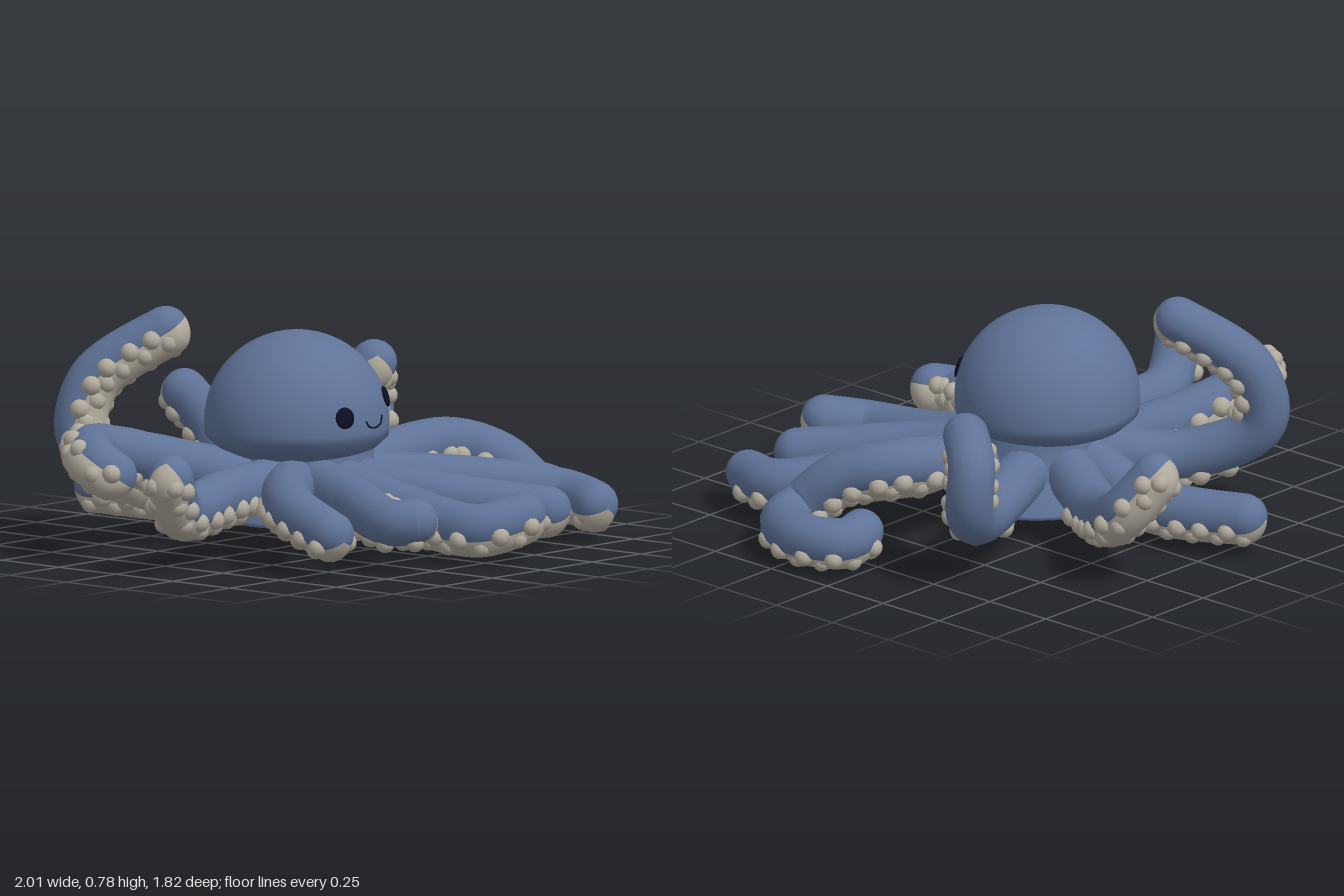
import * as THREE from 'three';
import { mergeGeometries } from 'three/addons/utils/BufferGeometryUtils.js';

const mat = (name, color) => Object.assign(new THREE.MeshStandardMaterial({ color }), { name });
const V = (x, y, z) => new THREE.Vector3(x, y, z);
const HEAD = V(-0.03, 0.41, -0.05), R = 0.308;
const { smoothstep } = THREE.MathUtils;

// Few guide points per arm, from the skirt to the tip; twist turns the sucker side
const ARMS = [
  { name: 'backArm', path: [[-.05, .14, -.5], [-.16, .14, -.84]] },
  { name: 'backLeftArm', path: [[.19, .17, -.48], [.34, .27, -.72], [.28, .42, -.83]] },
  { name: 'leftRaisedArm', twist: -3, path: [[.58, .2, -.3], [.73, .3, -.39], [.73, .45, -.4], [.63, .52, -.28]] },
  { name: 'leftCurledArm', twist: -.4, path: [[.55, .29, .1], [.66, .24, .25], [.73, .13, .36], [.84, .11, .34], [.92, .115, .18], [.87, .12, .04], [.76, .13, .05]] },
  { name: 'frontLeftOuterArm', path: [[.45, .19, .3], [.66, .15, .53], [.61, .13, .72]] },
  { name: 'frontLeftArm', path: [[.16, .18, .38], [.385, .14, .72]] },
  { name: 'frontArm', path: [[-.02, .15, .45], [-.01, .125, .74], [.13, .165, .83]] },
  { name: 'frontRightArm', twist: .9, path: [[-.22, .2, .36], [-.36, .17, .66], [-.31, .18, .74]] },
  { name: 'frontRightOuterArm', path: [[-.38, .22, .21], [-.56, .21, .4], [-.62, .15, .63]] },
  { name: 'rightArm', path: [[-.5, .22, .04], [-.8, .21, .11], [-.925, .35, .17]] },
  { name: 'backRightOuterArm', twist: -1, path: [[-.4, .29, -.29], [-.68, .36, -.37], [-.82, .34, -.24], [-.8, .29, -.16]] },
  { name: 'backRightRaisedArm', twist: 3, path: [[-.33, .21, -.4], [-.46, .34, -.62], [-.42, .54, -.61], [-.25, .72, -.41]] },
];

// Sample the centre line with a frame whose n axis points at the sucker side
function makeFrames(path, twist) {
  const pts = path.map(p => V(...p));
  // Every arm is rooted inside the body, facing its first guide point
  const heading = V(pts[0].x - HEAD.x, 0, pts[0].z - HEAD.z).setLength(0.17);
  pts.unshift(V(HEAD.x, 0.22, HEAD.z).add(heading));
  const [before, end] = pts.slice(-2);
  pts.push(end.clone().add(end.clone().sub(before).setLength(0.055)));
  const curve = new THREE.CatmullRomCurve3(pts, false, 'centripetal');
  const length = curve.getLength(), count = 56, normal = V(0, -1, 0);
  const frames = [];
  for (let i = 0; i <= count; i++) {
    const u = 1 - Math.pow(1 - i / count, 1.5);
    const t = curve.getTangentAt(u);
    normal.addScaledVector(t, -normal.dot(t)).normalize();
    const n = normal.clone().applyAxisAngle(t, twist * smoothstep(u, 0.15, 0.65));
    frames.push({ p: curve.getPointAt(u), n, b: t.clone().cross(n), r: 0.089 - 0.014 * u, left: length * (1 - u), u });
  }
  return { frames, length };
}

// Sweep a round section along the frames, closing in a rounded tip;
// shift moves the section towards the sucker side once clear of the body
function sweep(frames, scale, shift, sides = 16) {
  const pos = [], idx = [];
  frames.forEach(({ p, n, b, r, left, u }, i) => {
    const cap = Math.sqrt(1 - Math.max(0, 1 - left / r) ** 2);
    const offset = shift * r * cap * smoothstep(u, 0.1, 0.28);
    for (let j = 0; j < sides; j++) {
      const a = j / sides * Math.PI * 2;
      const v = p.clone().addScaledVector(n, Math.cos(a) * r * scale * cap + offset)
        .addScaledVector(b, Math.sin(a) * r * scale * cap);
      pos.push(v.x, v.y, v.z);
      if (i === frames.length - 1) continue;
      const k = i * sides + j, l = i * sides + (j + 1) % sides;
      idx.push(k, l, k + sides, l, l + sides, k + sides);
    }
  });
  const g = new THREE.BufferGeometry();
  g.setAttribute('position', new THREE.Float32BufferAttribute(pos, 3));
  g.setIndex(idx);
  g.computeVertexNormals();
  return g;
}

// Two rows of plump suckers, alternately near and far from the middle
function suckers({ frames, length }) {
  const parts = [], count = Math.round((length - 0.04) / 0.045);
  for (let k = Math.ceil(count * 0.22); k < count; k++) {
    const f = frames.find(c => c.u >= k * 0.045 / length);
    for (const side of [-1, 1]) {
      const angle = side * (k % 2 ? 1.05 : 0.5);
      const c = f.p.clone().addScaledVector(f.n, Math.cos(angle) * f.r * 0.92)
        .addScaledVector(f.b, Math.sin(angle) * f.r * 0.92);
      parts.push(new THREE.SphereGeometry(f.r * 0.42, 9, 7).translate(c.x, c.y, c.z));
    }
  }
  return mergeGeometries(parts);
}

// Point on the front of the head
function onHead(x, y) {
  const dx = x - HEAD.x, dy = y - HEAD.y;
  return V(x, y, HEAD.z + Math.sqrt(R * R - dx * dx - dy * dy) + 0.001);
}

export function createModel() {
  const model = new THREE.Group();
  model.name = 'octopus';
  const skin = mat('blueSkin', 0x5f7398);
  const pale = mat('paleSuckers', 0xb1aa9d);
  const dark = mat('darkFace', 0x0d0d24);
  const add = (parent, name, geometry, material) => {
    const m = new THREE.Mesh(geometry, material);
    m.name = name;
    parent.add(m);
    return m;
  };
  const lathe = points => new THREE.LatheGeometry(points.map(p => new THREE.Vector2(...p)), 48);

  // Domed head, open below where it meets the neck
  const dome = [[.2, .3], [.265, .328]];
  for (let i = 0; i <= 18; i++) {
    const a = THREE.MathUtils.lerp(-0.15, Math.PI / 2, i / 18);
    dome.push([Math.max(0, R * Math.cos(a)), HEAD.y + 0.985 * R * Math.sin(a)]);
  }
  add(model, 'head', lathe(dome), skin).position.set(HEAD.x, 0, HEAD.z);

  // Neck and flared skirt with a hollow underside
  const skirt = [[0, .15], [.08, .155], [.17, .125], [.25, .09], [.29, .083], [.303, .1], [.25, .18], [.225, .24], [.22, .34]];
  add(model, 'skirt', lathe(skirt), skin).position.set(0.01, 0, -0.04);

  // Eyes laid flat on the head
  for (const [name, x, y] of [['rightEye', -.122, .455], ['leftEye', .135, .497]]) {
    const eye = add(model, name, new THREE.SphereGeometry(0.036, 18, 12), dark);
    eye.scale.z = 0.27;
    eye.position.copy(onHead(x, y));
    eye.lookAt(eye.position.clone().multiplyScalar(2).sub(HEAD));
  }

  // Thin smile
  const smile = [[-.035, .437], [-.02, .418], [.015, .411], [.05, .422], [.063, .447]]
    .map(([x, y]) => onHead(x, y));
  add(model, 'smile', new THREE.TubeGeometry(new THREE.CatmullRomCurve3(smile), 20, 0.003, 6), dark);

  // Arms with a pale sucker side
  for (const { name, path, twist = 0 } of ARMS) {
    const arm = new THREE.Group();
    arm.name = name;
    model.add(arm);
    const line = makeFrames(path, twist);
    add(arm, 'armSkin', sweep(line.frames, 1, 0), skin);
    add(arm, 'armUnderside', sweep(line.frames, 0.85, 0.42), pale);
    add(arm, 'suckerRows', suckers(line), pale);
  }
  return model;
}
